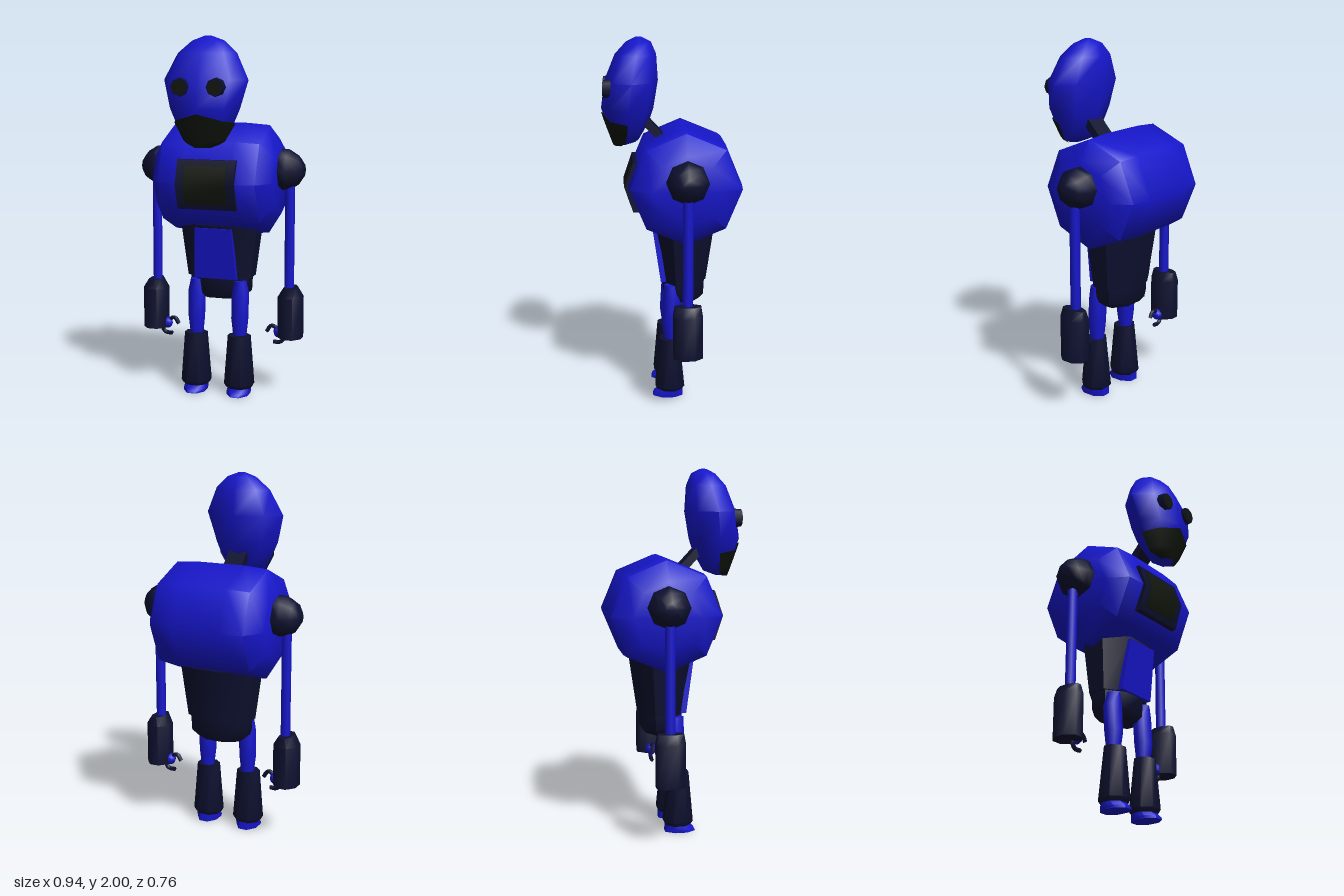
import * as THREE from 'three';
import { toCreasedNormals } from 'three/addons/utils/BufferGeometryUtils.js';

const paint = (color) => new THREE.MeshStandardMaterial({ color });

// Eight-sided ring around the y axis; flat = true turns a flat side to the front
function ring(y, rx, rz, cz = 0, flat = false) {
  const k = flat ? 1 / Math.cos(Math.PI / 8) : 1;
  return Array.from({ length: 8 }, (_, j) => {
    const a = (j + (flat ? 0.5 : 0)) * Math.PI / 4;
    return [Math.sin(a) * rx * k, y, cz + Math.cos(a) * rz * k];
  });
}

// Closed solid through rings listed from bottom to top
function loft(rings, crease = 0.9) {
  const n = rings[0].length, pos = rings.flat(2), idx = [];
  for (let i = 0; i < rings.length - 1; i++) {
    for (let j = 0; j < n; j++) {
      const a = i * n + j, b = i * n + (j + 1) % n;
      idx.push(a, b, b + n, a, b + n, a + n);
    }
  }
  const top = (rings.length - 1) * n;
  for (let j = 1; j < n - 1; j++) idx.push(0, j + 1, j, top, top + j, top + j + 1);
  const g = new THREE.BufferGeometry();
  g.setAttribute('position', new THREE.Float32BufferAttribute(pos, 3));
  g.setIndex(idx);
  return toCreasedNormals(g, crease);
}

// Head sections: height, front z, back z, half width
const HEAD = [
  [1.42, 0.30, 0.235, 0.04], [1.445, 0.31, 0.17, 0.105], [1.54, 0.345, 0.115, 0.16],
  [1.62, 0.372, 0.088, 0.195], [1.77, 0.352, 0.063, 0.235], [1.91, 0.295, 0.072, 0.165],
  [1.975, 0.235, 0.10, 0.09], [2.0, 0.185, 0.15, 0.02],
];

// Head section at any height
function headAt(y) {
  let i = 0;
  while (i < HEAD.length - 2 && HEAD[i + 1][0] < y) i++;
  const t = (y - HEAD[i][0]) / (HEAD[i + 1][0] - HEAD[i][0]);
  return HEAD[i].map((v, k) => THREE.MathUtils.lerp(v, HEAD[i + 1][k], t));
}

// Panel folded outward along its horizontal middle
function bentPanel(w, h, d, bend) {
  const g = new THREE.BoxGeometry(w, h, d, 1, 2, 1);
  const p = g.attributes.position;
  for (let i = 0; i < p.count; i++) {
    p.setZ(i, p.getZ(i) - d / 2 + bend * (1 - Math.abs(p.getY(i)) / (h / 2)));
  }
  g.computeVertexNormals();
  return g;
}

export function createModel() {
  const model = new THREE.Group();
  model.name = 'robot';
  const blue = paint(0x1616cc), dark = paint(0x0d1030), olive = paint(0x10160c);
  const add = (name, geo, mat, x = 0, y = 0, z = 0, parent = model) => {
    const m = new THREE.Mesh(geo, mat);
    m.name = name;
    m.position.set(x, y, z);
    parent.add(m);
    return m;
  };

  // Barrel torso lying across x
  const barrel = [[-0.345, 0.187], [-0.275, 0.3], [-0.14, 0.31], [0.14, 0.31], [0.275, 0.3], [0.345, 0.187]];
  add('torso', loft(barrel.map(([x, r]) => ring(x, r, r)), 1).rotateZ(-Math.PI / 2), blue, 0, 1.22, -0.075);
  add('chestFrame', bentPanel(0.33, 0.27, 0.05, 0.045), dark, 0, 1.21, 0.205);
  add('chestScreen', bentPanel(0.24, 0.21, 0.05, 0.035), olive, 0, 1.21, 0.219);

  // Waist, front plate and pelvis
  add('waist', loft([ring(0.665, 0.185, 0.122, 0, true), ring(0.97, 0.222, 0.165, 0, true)]), dark, 0, 0, -0.075);
  const plate = new THREE.BoxGeometry(1, 0.29, 0.03);
  const pp = plate.attributes.position;
  for (let i = 0; i < pp.count; i++) {
    const up = pp.getY(i) > 0;
    pp.setX(i, pp.getX(i) * (up ? 0.21 : 0.245));
    pp.setZ(i, pp.getZ(i) + (up ? 0.083 : 0.04));
  }
  plate.computeVertexNormals();
  add('waistPlate', plate, blue, 0, 0.81, 0);
  add('pelvis', loft([
    ring(0.545, 0.13, 0.085, 0, true), ring(0.575, 0.165, 0.11, 0, true), ring(0.68, 0.17, 0.115, 0, true),
  ]), dark, 0, 0, -0.075);

  // Head, jaw and neck
  add('head', loft(HEAD.map(([y, f, b, w]) => ring(y, w, (f - b) / 2, (f + b) / 2)), 1.2), blue);
  const jaw = new THREE.PlaneGeometry(1, 1, 4, 8);
  const jp = jaw.attributes.position;
  for (let i = 0; i < jp.count; i++) {
    const a = jp.getX(i) * Math.PI, v = jp.getY(i) + 0.5;
    const y = 1.42 + v * (0.18 - 0.05 * Math.abs(Math.sin(a)));
    const [, f, b, w] = headAt(y);
    jp.setXYZ(i, Math.sin(a) * (w + 0.007), y - 0.003, (f + b) / 2 + Math.cos(a) * ((f - b) / 2 + 0.007));
  }
  jaw.computeVertexNormals();
  const jawMat = olive.clone();
  jawMat.side = THREE.DoubleSide;
  add('jaw', jaw, jawMat);
  add('neck', new THREE.BoxGeometry(0.11, 0.26, 0.045), dark, 0, 1.49, 0.075).rotation.x = 0.75;

  const sideways = (g) => g.rotateX(Math.PI / 2);
  for (const s of [1, -1]) {
    const side = s > 0 ? 'left' : 'right';

    // Eyes
    const socket = sideways(new THREE.CylinderGeometry(0.047, 0.054, 0.09, 8));
    add(side + 'EyeSocket', socket, dark, s * 0.097, 1.735, 0.315);
    add(side + 'Eye', sideways(new THREE.CylinderGeometry(0.037, 0.037, 0.02, 8)), olive, s * 0.097, 1.735, 0.353);

    // Arm
    const arm = new THREE.Group();
    arm.name = side + 'Arm';
    arm.position.set(s * 0.393, 0, -0.077);
    model.add(arm);
    const ball = [[-0.115, 0.035], [-0.085, 0.08], [-0.03, 0.113], [0.03, 0.113], [0.085, 0.08], [0.115, 0.035]];
    add('shoulder', loft(ball.map(([x, r]) => ring(x, r, r)), 1.1).rotateZ(-Math.PI / 2), dark, s * -0.036, 1.277, 0, arm);
    add('upperArm', new THREE.CylinderGeometry(0.028, 0.028, 0.64, 8), blue, 0, 0.9, 0, arm);
    add('forearm', loft([
      ring(0.33, 0.067, 0.078, 0, true), ring(0.565, 0.067, 0.078, 0, true), ring(0.617, 0.035, 0.07, 0, true),
    ]), dark, s * 0.01, 0, 0, arm);

    // Hand with two hooked claws
    add('hand', new THREE.SphereGeometry(0.034, 8, 6), blue, s * -0.055, 0.355, 0, arm);
    const claws = [
      [[-0.06, 0.36], [-0.085, 0.385], [-0.105, 0.385], [-0.127, 0.352]],
      [[-0.03, 0.335], [-0.032, 0.31], [-0.052, 0.295], [-0.088, 0.295]],
    ];
    for (const pts of claws) {
      const path = new THREE.CatmullRomCurve3(pts.map(([x, y]) => new THREE.Vector3(s * x, y, 0)));
      const claw = new THREE.TubeGeometry(path, 8, 0.012, 6);
      const clawMat = dark.clone();
      clawMat.side = THREE.DoubleSide;
      add('claw', claw, clawMat, 0, 0, 0, arm);
    }

    // Leg
    const leg = new THREE.Group();
    leg.name = side + 'Leg';
    leg.position.set(s * 0.128, 0, 0.003);
    model.add(leg);
    add('thigh', loft([
      ring(0.31, 0.036, 0.035, -0.005), ring(0.43, 0.05, 0.05, -0.003),
      ring(0.58, 0.052, 0.05, -0.012), ring(0.65, 0.036, 0.045, -0.01),
    ]), blue, 0, 0, 0, leg);
    add('shin', loft([
      ring(0.04, 0.07, 0.068, 0.003, true), ring(0.06, 0.08, 0.081, 0.003, true), ring(0.34, 0.061, 0.055, 0.005, true),
    ]), dark, 0, 0, 0, leg);
    add('foot', loft([
      ring(0, 0.06, 0.084, 0.014, true), ring(0.015, 0.063, 0.08, 0.012, true), ring(0.055, 0.06, 0.058, -0.01, true),
    ]), blue, 0, 0, 0, leg);
  }
  return model;
}
